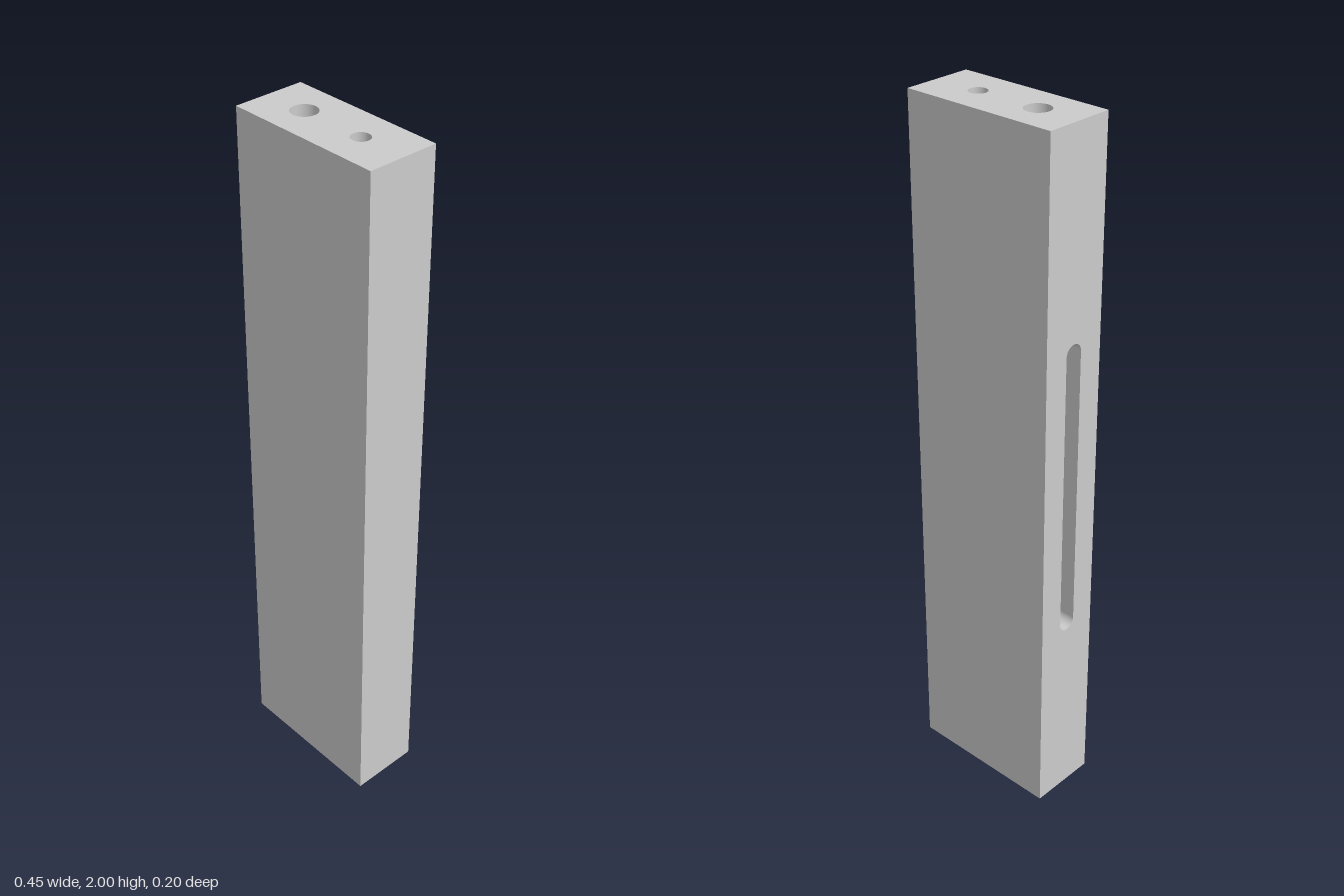
import * as THREE from 'three';

const W = 0.453, H = 2, D = 0.2;
const material = new THREE.MeshStandardMaterial({ color: 0xcccccc });

// Rounded-end outline; length equal to the diameter gives a plain circle
function slotPath(x, y, r, length = 2 * r) {
  const s = length / 2 - r;
  const path = new THREE.Path();
  path.absarc(x, y + s, r, 0, Math.PI, false);
  path.absarc(x, y - s, r, Math.PI, 2 * Math.PI, false);
  path.closePath();
  return path;
}

// Inward-facing wall of a recess, from z = 0 down to z = -depth
function recessWall(points, depth) {
  const n = points.length, pos = [], index = [];
  points.forEach((p, i) => {
    pos.push(p.x, p.y, 0, p.x, p.y, -depth);
    const a = 2 * i, b = 2 * ((i + 1) % n);
    index.push(a, b, b + 1, a, b + 1, a + 1);
  });
  const g = new THREE.BufferGeometry();
  g.setAttribute('position', new THREE.Float32BufferAttribute(pos, 3));
  g.setIndex(index);
  g.computeVertexNormals();
  return g;
}

// One flat side of the block, facing +z, with recesses sunk into it
function side(name, w, h, recesses = []) {
  const group = new THREE.Group();
  group.name = name;
  const add = (geometry, part) => {
    const mesh = new THREE.Mesh(geometry, material);
    mesh.name = part;
    group.add(mesh);
    return mesh;
  };
  const outline = new THREE.Shape([[-1, -1], [1, -1], [1, 1], [-1, 1]]
    .map(([x, y]) => new THREE.Vector2(x * w / 2, y * h / 2)));
  for (const { part, path, depth } of recesses) {
    const points = path.getPoints(24).filter((p, i, all) =>
      i === 0 || (p.distanceTo(all[i - 1]) > 1e-5 && p.distanceTo(all[0]) > 1e-5));
    outline.holes.push(new THREE.Path(points));
    add(recessWall(points, depth), part + 'Wall');
    add(new THREE.ShapeGeometry(new THREE.Shape(points)), part + 'Floor').position.z = -depth;
  }
  add(new THREE.ShapeGeometry(outline), name + 'Face');
  return group;
}

export function createModel() {
  const model = new THREE.Group();
  model.name = 'drilledBar';
  const place = (part, x, y, z, rx, ry) => {
    part.position.set(x, y, z);
    part.rotation.set(rx, ry, 0);
    model.add(part);
  };

  // A wide and a narrow bore in each end
  const bores = [
    { part: 'wideBore', path: slotPath(-0.1, 0, 0.035), depth: 0.4 },
    { part: 'narrowBore', path: slotPath(0.09, 0, 0.025), depth: 0.4 },
  ];
  place(side('top', W, D, bores), 0, H, 0, -Math.PI / 2, 0);
  place(side('bottom', W, D, bores), 0, 0, 0, Math.PI / 2, 0);

  // Broad sides
  place(side('front', W, H), 0, H / 2, D / 2, 0, 0);
  place(side('back', W, H), 0, H / 2, -D / 2, 0, Math.PI);

  // Narrow sides, the right one with a long slot
  const slot = { part: 'slot', path: slotPath(0, 0, 0.027, 0.875), depth: 0.12 };
  place(side('leftSide', D, H), W / 2, H / 2, 0, 0, Math.PI / 2);
  place(side('rightSide', D, H, [slot]), -W / 2, H / 2, 0, 0, -Math.PI / 2);

  return model;
}
